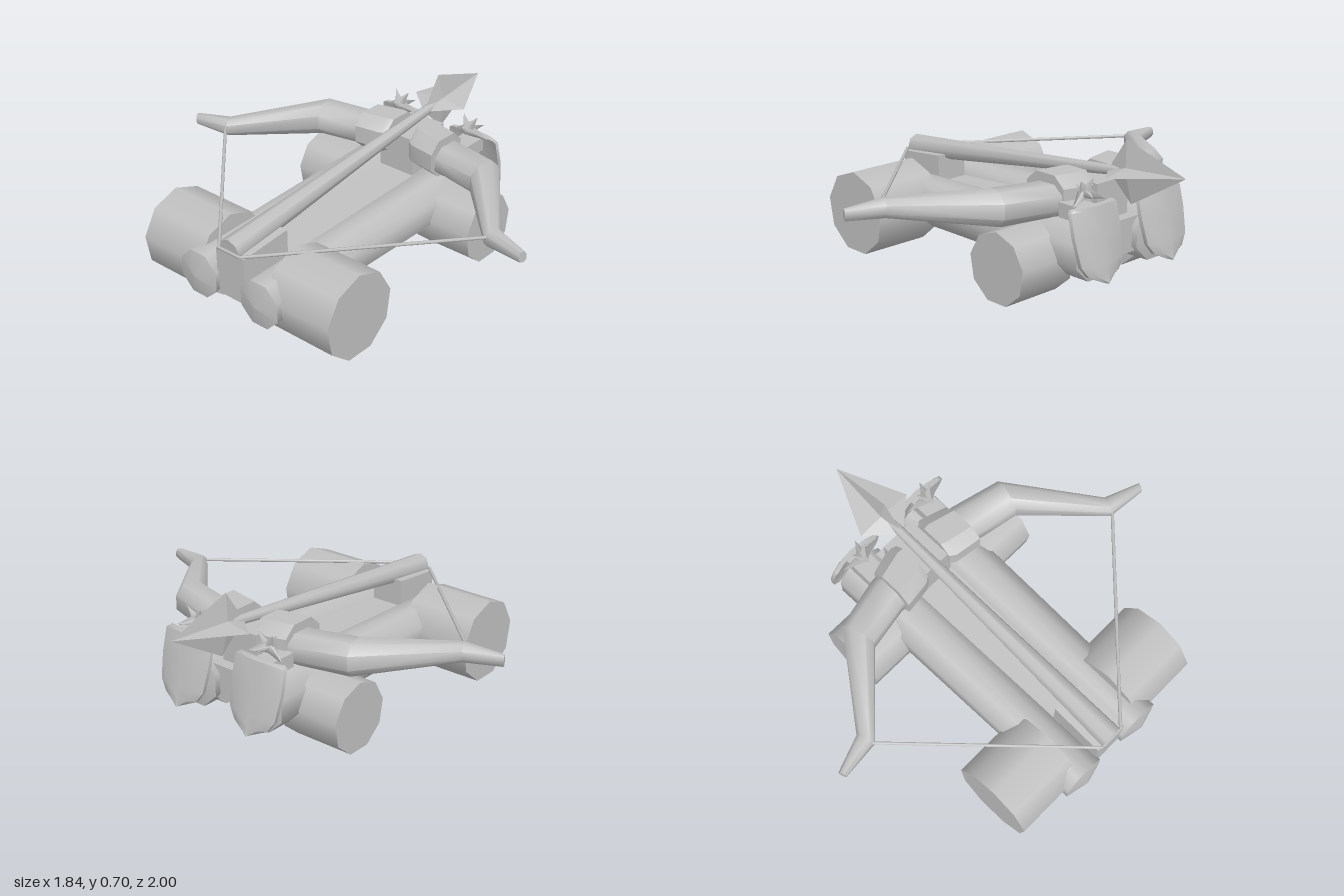
import * as THREE from 'three';
import { toCreasedNormals } from 'three/addons/utils/BufferGeometryUtils.js';

const V = (x, y, z) => new THREE.Vector3(x, y, z);
const grey = new THREE.MeshStandardMaterial({ color: 0xc0c0c0, side: THREE.DoubleSide });
grey.name = 'grey';

export function createModel() {
  const model = new THREE.Group();
  model.name = 'wheeledBallista';
  const Z0 = -0.015; // chassis centre line

  function add(name, geo, x = 0, y = 0, z = 0) {
    const mesh = new THREE.Mesh(geo, grey);
    mesh.name = name;
    mesh.position.set(x, y, z);
    model.add(mesh);
    return mesh;
  }

  // skin over equal-length rings of points, closed at both ends
  function loft(rings, crease = 0.9) {
    const n = rings[0].length, pos = [], idx = [];
    rings.forEach(r => r.forEach(p => pos.push(p.x, p.y, p.z)));
    for (let i = 0; i < rings.length - 1; i++)
      for (let j = 0; j < n; j++) {
        const a = i * n + j, b = i * n + (j + 1) % n;
        idx.push(a, b, a + n, b, b + n, a + n);
      }
    const last = (rings.length - 1) * n;
    for (let j = 1; j < n - 1; j++) {
      idx.push(0, j + 1, j);
      idx.push(last, last + j, last + j + 1);
    }
    const g = new THREE.BufferGeometry();
    g.setAttribute('position', new THREE.Float32BufferAttribute(pos, 3));
    g.setIndex(idx);
    return toCreasedNormals(g, crease);
  }

  // tapered round bar between two points
  function bar(name, a, b, ra, rb, sides) {
    const mesh = add(name, new THREE.CylinderGeometry(rb, ra, a.distanceTo(b), sides));
    mesh.position.copy(a).add(b).multiplyScalar(0.5);
    mesh.quaternion.setFromUnitVectors(V(0, 1, 0), b.clone().sub(a).normalize());
    return mesh;
  }

  // tapered slab along x: each end is [x, bottom, top, halfWidth]
  function slab(name, ends) {
    const rings = ends.map(([x, b, t, w]) =>
      [V(x, b, Z0 - w), V(x, b, Z0 + w), V(x, t, Z0 + w), V(x, t, Z0 - w)]);
    add(name, loft(rings, 0.5));
  }

  // eight-sided ring in the yz plane with a flat underside
  function octagon(x, y, z, r) {
    return Array.from({ length: 8 }, (_, i) => {
      const a = (i + 0.5) * Math.PI / 4;
      return V(x, y + r * Math.sin(a), z + r * Math.cos(a));
    });
  }

  // chamfered section of a bow limb, from its inner to its outer edge
  function limbRing([x1, z1, x2, z2, y, h], s) {
    return [[0, -0.45], [0, 0.45], [0.25, 1], [0.75, 1], [1, 0.45], [1, -0.45], [0.75, -1], [0.25, -1]]
      .map(([t, v]) => V(x1 + (x2 - x1) * t, y + v * h, s * (z1 + (z2 - z1) * t)));
  }

  const limb = [
    [0.24, 0.18, 0.43, 0.18, 0.43, 0.072],
    [0.24, 0.26, 0.43, 0.26, 0.43, 0.073],
    [0.20, 0.47, 0.365, 0.515, 0.435, 0.078],
    [-0.13, 0.79, -0.05, 0.825, 0.418, 0.042],
    [-0.15, 0.985, -0.115, 1.0, 0.416, 0.026],
  ];
  const sleeve = [
    [0.25, 0.07, 0.47, 0.07, 0.45, 0.095],
    [0.23, 0.10, 0.48, 0.10, 0.45, 0.095],
    [0.21, 0.235, 0.44, 0.235, 0.45, 0.095],
  ];

  // curved shield: rows run from top to bottom
  function shieldGeometry() {
    const rows = [[0.455, 0.125], [0.445, 0.14], [0.33, 0.143], [0.21, 0.13], [0.16, 0.095], [0.12, 0.012]];
    const cols = [-1, -0.6, 0, 0.6, 1];
    return loft(rows.map(([y, w]) => {
      const x = 0.618 + (0.455 - y) * 0.235;
      const front = cols.map(t => V(x - 0.025 * t * t, y, t * w));
      const back = cols.map(t => V(x - 0.024 - 0.022 * t * t, y, t * w)).reverse();
      return [...front, ...back];
    }), 1.0);
  }

  for (const s of [1, -1]) {
    const side = s > 0 ? 'Left' : 'Right';

    // logs with shallow pointed ends
    const zr = Z0 + s * 0.185, zf = Z0 + s * 0.195;
    add('log' + side, loft([
      octagon(-0.92, 0.2, zr, 0.001),
      octagon(-0.89, 0.2, zr, 0.117),
      octagon(0.59, 0.233, zf, 0.137),
      octagon(0.62, 0.233, zf, 0.001),
    ]));

    // wheels
    for (const [name, x, r, inner, outer] of [['rear', -0.667, 0.206, 0.2, 0.561], ['front', 0.304, 0.171, 0.22, 0.527]]) {
      const geo = new THREE.CylinderGeometry(r, r, outer - inner, 9);
      geo.rotateX(Math.PI / 2);
      // turn one corner straight up
      geo.rotateZ(Math.PI);
      const p = geo.attributes.position;
      let top = -1, low = 1;
      for (let i = 0; i < p.count; i++) {
        top = Math.max(top, p.getY(i));
        low = Math.min(low, p.getY(i));
      }
      if (top < r * 0.99) geo.rotateZ(Math.PI);
      add(name + 'Wheel' + side, geo, x, r * Math.cos(Math.PI / 9), Z0 + s * (inner + outer) / 2);
    }

    // bow limb, its sleeve and half of the string
    add('bowLimb' + side, loft(limb.map(r => limbRing(r, s))));
    add('bowSleeve' + side, loft(sleeve.map(r => limbRing(r, s)), 0.6));
    bar('bowString' + side, V(-0.87, 0.38, Z0 + s * 0.065), V(-0.125, 0.432, s * 0.8), 0.008, 0.008, 6);

    // shield with a bracket and a spiked knot behind it
    const zs = Z0 / 2 + s * 0.213;
    add('shield' + side, shieldGeometry(), 0, 0, zs);
    add('shieldBracket' + side, new THREE.BoxGeometry(0.17, 0.07, 0.1), 0.515, 0.405, zs);
    const core = V(0.535, 0.495, zs);
    [[0.02, 0.065, 0.04], [0.02, 0.065, -0.04], [0.03, -0.04, 0.1], [0.03, -0.04, -0.1],
      [0.085, 0, 0.035], [-0.05, 0.03, 0]].forEach(([x, y, z]) => {
      bar('knotSpike' + side, core, core.clone().add(V(x, y, z)), 0.03, 0.001, 4);
    });
  }

  // string section behind the bolt
  bar('bowStringCentre', V(-0.873, 0.38, Z0 - 0.068), V(-0.873, 0.38, Z0 + 0.068), 0.008, 0.008, 6);

  // deck between the logs, rear rest and bow block
  slab('deck', [[-0.87, 0.14, 0.25, 0.12], [0.56, 0.158, 0.325, 0.12]]);
  slab('boltRest', [[-0.87, 0.24, 0.375, 0.085], [-0.6, 0.25, 0.4, 0.085]]);
  slab('bowBlock', [[0.26, 0.3, 0.5, 0.1], [0.5, 0.3, 0.5, 0.1]]);

  // bolt shaft
  bar('boltShaft', V(-0.87, 0.386, Z0), V(0.55, 0.551, Z0), 0.059, 0.022, 8);

  // four-bladed bolt head
  const centre = V(0.595, 0.556, Z0), up = V(-0.017, 0.146, 0);
  const star = Array.from({ length: 8 }, (_, i) => {
    const a = i * Math.PI / 4, r = i % 2 ? 0.2 : 1;
    return centre.clone().addScaledVector(up, r * Math.sin(a)).add(V(0, 0, 0.15 * r * Math.cos(a)));
  });
  const point = (x, y) => star.map(() => V(x, y, Z0));
  add('boltHead', loft([point(0.47, 0.541), star, point(0.915, 0.592)], 0.1));

  return model;
}
